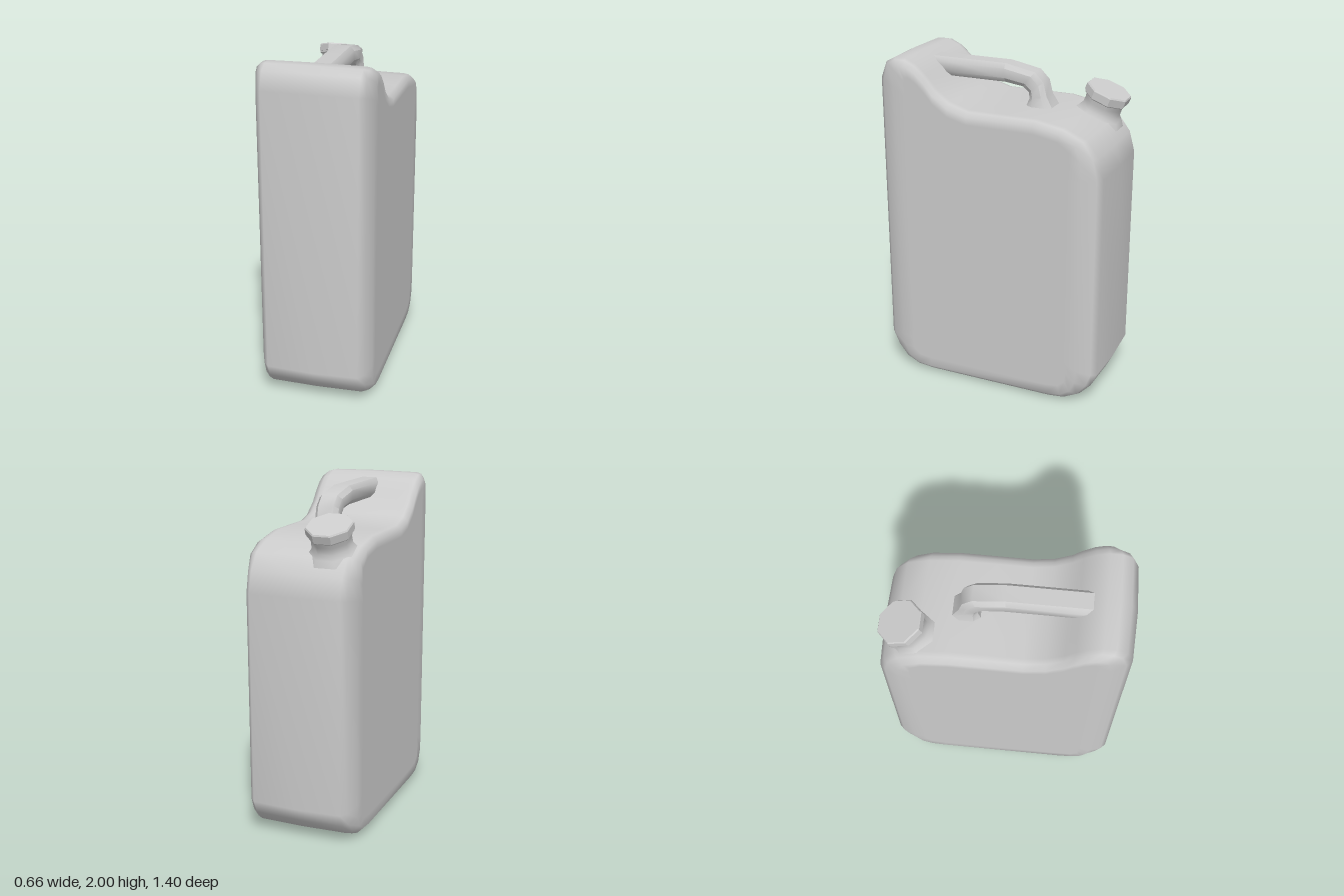
import * as THREE from 'three';
import { toCreasedNormals } from 'three/addons/utils/BufferGeometryUtils.js';

// Skin a list of closed rings (arrays of [x, y, z]) and close both ends with a fan
function loft(rings) {
  const n = rings[0].length, pos = rings.flat(2), idx = [];
  for (let i = 0; i < rings.length - 1; i++) {
    for (let j = 0; j < n; j++) {
      const k = (j + 1) % n, a = i * n + j, b = i * n + k;
      idx.push(a, a + n, b, b, a + n, b + n);
    }
  }
  for (const last of [false, true]) {
    const ring = rings[last ? rings.length - 1 : 0];
    const start = last ? (rings.length - 1) * n : 0;
    const c = pos.length / 3;
    for (let k = 0; k < 3; k++) pos.push(ring.reduce((s, p) => s + p[k], 0) / n);
    for (let j = 0; j < n; j++) {
      const a = start + j, b = start + (j + 1) % n;
      idx.push(c, ...(last ? [b, a] : [a, b]));
    }
  }
  const g = new THREE.BufferGeometry();
  g.setAttribute('position', new THREE.Float32BufferAttribute(pos, 3));
  g.setIndex(idx);
  g.computeVertexNormals();
  return g;
}

export function createModel() {
  const group = new THREE.Group();
  const material = new THREE.MeshStandardMaterial({ color: 0xcccccc });
  const add = (name, geometry, parent = group) => {
    const mesh = new THREE.Mesh(geometry, material);
    mesh.name = name;
    parent.add(mesh);
    return mesh;
  };

  // Body: side profile [z, y], from the tall front ridge over the saddle to the back
  const profile = [
    [0.70, 1.87], [0.66, 1.97], [0.60, 2.0], [0.53, 2.0], [0.46, 1.97], [0.39, 1.91],
    [0.335, 1.845], [0.24, 1.775], [0.12, 1.74], [-0.08, 1.74], [-0.29, 1.74],
    [-0.46, 1.71], [-0.59, 1.655], [-0.665, 1.56], [-0.70, 1.44], [-0.70, 0.2],
    [-0.66, 0.12], [-0.59, 0.05], [-0.50, 0.01], [-0.4, 0], [0.4, 0],
    [0.50, 0.01], [0.59, 0.05], [0.66, 0.12], [0.70, 0.2],
  ];
  // Rounded rim: [x, inset at the z ends, inset in y]
  const rim = [[0.332, 0.2, 0.1], [0.332, 0.12, 0.04], [0.30, 0.04, 0.01], [0.27, 0.01, 0.003], [0, 0, 0]];
  const slices = [
    ...rim.map(([x, dz, dy]) => [-x, dz, dy]),
    ...rim.slice(0, -1).reverse(),
  ];
  add('body', loft(slices.map(([x, dz, dy]) => profile.map(([z, y]) => [
    x,
    1 + (y - 1) * (1 - dy),
    z * (1 - (dz / 0.7) * (Math.abs(z) / 0.7) ** 4),
  ]))));

  // Handle: outer and inner [z, y] at each station, and a width factor
  const stations = [
    [[0.50, 1.97], [0.42, 1.86], 1],
    [[0.30, 1.97], [0.30, 1.86], 1],
    [[0.00, 1.97], [0.00, 1.86], 1],
    [[-0.18, 1.935], [-0.11, 1.845], 1],
    [[-0.235, 1.88], [-0.145, 1.815], 1],
    [[-0.255, 1.80], [-0.15, 1.78], 1.02],
    [[-0.30, 1.725], [-0.13, 1.725], 1.25],
  ];
  // Chamfered section: [half width, fraction from outer to inner side]
  const half = [[0.047, 0], [0.07, 0.25], [0.07, 0.75], [0.047, 1]];
  const section = [...half.slice().reverse(), ...half.map(([x, t]) => [-x, t])];
  const handle = loft(stations.map(([o, i, w]) => section.map(([x, t]) => [
    x * w, o[1] + (i[1] - o[1]) * t, o[0] + (i[0] - o[0]) * t,
  ])));
  add('handle', toCreasedNormals(handle, 0.7));

  // Spout: tilted eight-sided neck and screw cap, offset to one side
  const spout = new THREE.Group();
  spout.name = 'spout';
  spout.position.set(-0.157, 1.83, -0.5625);
  spout.rotation.x = -0.366;
  group.add(spout);
  const lathe = (points) => new THREE.LatheGeometry(
    points.map(([r, y]) => new THREE.Vector2(r, y)), 8, Math.PI / 8);
  add('neck', lathe([[0.158, -0.19], [0.135, -0.155], [0.115, -0.13], [0.113, -0.09], [0.122, -0.04]]), spout);
  add('capCollar', toCreasedNormals(lathe([[0, -0.062], [0.124, -0.062], [0.13, -0.056], [0.13, -0.042]]), 0.5), spout);
  add('cap', toCreasedNormals(lathe([[0, -0.045], [0.135, -0.045], [0.135, -0.008], [0.129, 0], [0, 0]]), 0.5), spout);

  return group;
}
